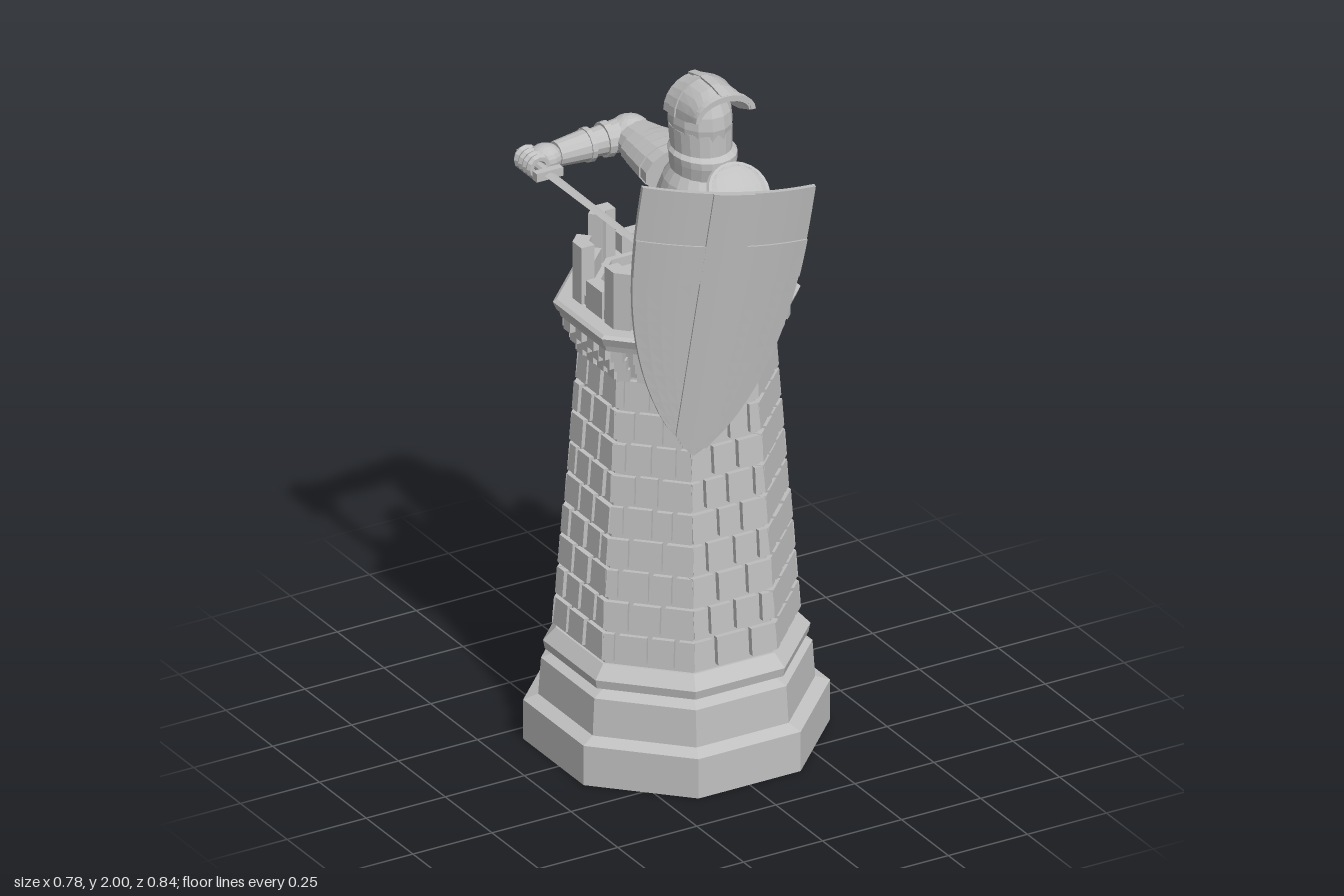
import * as THREE from 'three';
import { mergeGeometries } from 'three/addons/utils/BufferGeometryUtils.js';

const stoneGray = new THREE.MeshStandardMaterial({ color: 0xc0c0c0, flatShading: true });
stoneGray.name = 'stoneGray';
const V = (x, y, z) => new THREE.Vector3(x, y, z);
const T8 = Math.tan(Math.PI / 8), C8 = Math.cos(Math.PI / 8);

function add(parent, name, geo, pos = [0, 0, 0], rot = [0, 0, 0], scale = [1, 1, 1]) {
  const m = new THREE.Mesh(geo, stoneGray);
  m.name = name;
  m.position.set(...pos);
  m.rotation.set(...rot);
  m.scale.set(...scale);
  parent.add(m);
  return m;
}
// Octagonal frustum given by apothems, flat sides facing the axes
function octagon(aTop, aBottom, y0, y1) {
  return new THREE.CylinderGeometry(aTop / C8, aBottom / C8, y1 - y0, 8, 1, false, Math.PI / 8)
    .translate(0, (y0 + y1) / 2, 0);
}
// Octagonal slab with a hole of n sides
function ring(outer, inner, n, y0, y1) {
  const loop = (r, k, off) => Array.from({ length: k }, (_, i) =>
    new THREE.Vector2(r * Math.cos(off + i * 2 * Math.PI / k), r * Math.sin(off + i * 2 * Math.PI / k)));
  const s = new THREE.Shape(loop(outer / C8, 8, Math.PI / 8));
  s.holes.push(new THREE.Path(loop(inner, n, Math.PI / n)));
  return new THREE.ExtrudeGeometry(s, { depth: y1 - y0, bevelEnabled: false })
    .rotateX(-Math.PI / 2).translate(0, y0, 0);
}
// Closed solid through equal cross-section loops
function loft(rings) {
  const n = rings[0].length, p = rings.flat(), idx = [], last = (rings.length - 1) * n;
  for (let r = 0; r < rings.length - 1; r++) for (let i = 0; i < n; i++) {
    const a = r * n + i, b = r * n + (i + 1) % n;
    idx.push(a, b, b + n, a, b + n, a + n);
  }
  for (let i = 0; i < n / 2 - 1; i++) {
    const j = n - 1 - i;
    idx.push(i, j, j - 1, i, j - 1, i + 1);
    idx.push(last + i, last + j - 1, last + j, last + i, last + i + 1, last + j - 1);
  }
  let volume = 0;
  for (let i = 0; i < idx.length; i += 3) volume += p[idx[i]].dot(p[idx[i + 1]].clone().cross(p[idx[i + 2]]));
  if (volume < 0) idx.reverse();
  const g = new THREE.BufferGeometry().setFromPoints(p);
  g.setIndex(idx);
  g.computeVertexNormals();
  return g;
}
// Stack of ellipses [y, rx, rz, cz]
function ellipses(cx, rows, n = 20) {
  return loft(rows.map(([y, rx, rz, cz = 0]) => Array.from({ length: n }, (_, i) => {
    const a = i * 2 * Math.PI / n;
    return V(cx + rx * Math.cos(a), y, cz - rz * Math.sin(a));
  })));
}
// Tapered round piece from a to b
function limb(parent, name, a, b, ra, rb, flat = 1) {
  const d = V(...b).sub(V(...a));
  const m = add(parent, name, new THREE.CylinderGeometry(rb, ra, d.length(), 14));
  m.position.copy(V(...a)).addScaledVector(d, 0.5);
  m.quaternion.setFromUnitVectors(V(0, 1, 0), d.normalize());
  m.scale.z = flat;
  return m;
}
const ball = (parent, name, pos, r) => add(parent, name, new THREE.SphereGeometry(1, 14, 10), pos, [0, 0, 0], r);

function buildTower() {
  const tower = new THREE.Group();
  tower.name = 'tower';
  tower.position.z = -0.03;
  add(tower, 'hollowBase', ring(0.39, 0.24, 32, 0, 0.12));
  // plinth mouldings: [bottom apothem, top apothem, y0, y1]
  [[0.39, 0.352, 0.12, 0.135], [0.352, 0.345, 0.135, 0.245], [0.345, 0.308, 0.245, 0.26],
    [0.31, 0.31, 0.26, 0.275], [0.335, 0.34, 0.272, 0.298], [0.34, 0.308, 0.298, 0.335]]
    .forEach(([b, t, y0, y1]) => add(tower, 'plinth', octagon(t, b, y0, y1)));
  add(tower, 'wallCore', octagon(0.236, 0.301, 0.335, 1.19));
  add(tower, 'corbelCore', octagon(0.262, 0.236, 1.18, 1.3));
  [[0.295, 0.3, 1.285, 1.305], [0.305, 0.315, 1.305, 1.33], [0.315, 0.305, 1.33, 1.338]]
    .forEach(([b, t, y0, y1]) => add(tower, 'rim', octagon(t, b, y0, y1)));
  add(tower, 'parapet', ring(0.255, 0.205 / C8, 8, 1.33, 1.365));

  let seed = 7;
  const rand = () => (seed = (seed * 16807) % 2147483647) / 2147483647;
  const stones = [], corbels = [], merlons = [];
  const rows = 9, y0 = 0.34, step = 0.0935;
  for (let f = 0; f < 8; f++) {
    const place = (list, w, h, d, x, y, front, tilt = 0) => list.push(new THREE.BoxGeometry(w, h, d)
      .rotateX(-tilt).translate(x, y, front - d / 2).rotateY(f * Math.PI / 4));
    // staggered wall stones
    for (let r = 0; r < rows; r++) {
      const a = 0.314 - 0.0072 * r, half = a * T8;
      const cuts = (r + f) % 2 ? [0, 0.17, 0.5, 0.81, 1] : [0, 0.3, 0.64, 1];
      const joints = cuts.map((c) => (c % 1 ? c + (rand() - 0.5) * 0.08 : c));
      for (let i = 0; i < joints.length - 1; i++) {
        const g = 0.007, l = joints[i] * 2 * half - half + (i ? g : 0);
        const e = joints[i + 1] * 2 * half - half - (i < joints.length - 2 ? g : 0);
        place(stones, e - l, 0.078 + rand() * 0.006, 0.04, (l + e) / 2, y0 + (r + 0.5) * step,
          a - 0.003 + rand() * 0.004, 0.077);
      }
    }
    // stepped corbels
    for (let s = 0; s < 3; s++) for (let i = 0; i < 4; i++) {
      const a = 0.258 + s * 0.017;
      place(corbels, 0.034, 0.037, 0.06, (i - 1.5) * 0.056 * (1 + s * 0.06), 1.197 + s * 0.036, a);
    }
    // tall corner merlons and low blocks between them
    for (const s of [-1, 1]) place(merlons, 0.048, 0.18, 0.042, s * (0.265 * T8 - 0.024), 1.42, 0.265);
    place(merlons, 0.085, 0.09, 0.04, 0, 1.375, 0.262);
  }
  add(tower, 'wallStones', mergeGeometries(stones));
  add(tower, 'corbels', mergeGeometries(corbels));
  add(tower, 'merlons', mergeGeometries(merlons));
  return tower;
}

function buildShield() {
  const shield = new THREE.Group();
  shield.name = 'shield';
  const top = V(-0.055, 1.835, 0.345), tip = V(-0.115, 1.0, 0.225);
  const side = V(0.235, -0.03, 0.065), out = V(-0.26, 0.08, 0.96);
  const width = (t) => Math.max(0.01, Math.pow(1 - Math.pow(t, 2.8), 0.8));
  // curved panel between across-limits u0..u1 and down-limits t0..t1
  const panel = (name, u0, u1, t0, t1, front, back) => {
    const rings = [];
    for (let k = 0; k <= 20; k++) {
      const t = t0 + (t1 - t0) * k / 20, w = width(t);
      const lo = Math.max(u0, -w), hi = Math.min(u1, w);
      const row = (off) => Array.from({ length: 13 }, (_, i) => {
        const u = lo + (hi - lo) * i / 12;
        return top.clone().lerp(tip, t).addScaledVector(side, u)
          .addScaledVector(out, 0.055 * (1 - u * u) + off);
      });
      rings.push([...row(front), ...row(back).reverse()]);
    }
    add(shield, name, loft(rings));
  };
  panel('shieldBoard', -1, 1, 0, 1, 0, -0.018);
  panel('crossUpright', -0.24, 0.24, 0, 0.97, 0.007, -0.002);
  panel('crossBar', -1, 1, 0.2, 0.34, 0.007, -0.002);
  return shield;
}

function buildHelmet() {
  const helmet = new THREE.Group();
  helmet.name = 'helmet';
  ball(helmet, 'skull', [0.062, 1.865, -0.01], [0.085, 0.12, 0.104]);
  add(helmet, 'bevor', ellipses(0.062, [[1.7, 0.085, 0.095], [1.755, 0.09, 0.105, 0.005],
    [1.775, 0.092, 0.108, 0.002], [1.785, 0.082, 0.096, -0.005], [1.85, 0.084, 0.1, -0.01]]));
  // raised visor with ribs, rows of [z, base y, top y]
  const arch = (name, rows, a0, a1, grow) => add(helmet, name, loft(rows.map(([z, yb, yt]) => {
    const row = (g) => Array.from({ length: 13 }, (_, i) => {
      const a = a0 + (a1 - a0) * i / 12;
      return V(0.062 + Math.cos(a) * (0.09 + g), yb + Math.sin(a) * (yt - yb + g), z);
    });
    return [...row(grow), ...row(grow - 0.014).reverse()];
  })));
  const visor = [[-0.055, 1.89, 1.98], [0.01, 1.895, 1.994], [0.07, 1.905, 1.992], [0.125, 1.925, 1.98]];
  arch('visor', visor, 0, Math.PI, 0);
  arch('visorRidge', visor, 1.45, 1.69, 0.006);
  arch('visorBand', [[-0.02, 1.892, 1.987], [0.01, 1.895, 1.994]], 0, Math.PI, 0.005);
  arch('visorEdge', [[0.11, 1.92, 1.983], [0.128, 1.925, 1.98]], 0, Math.PI, 0.005);
  return helmet;
}

function buildKnight() {
  const knight = new THREE.Group();
  knight.name = 'knight';
  add(knight, 'breastplate', ellipses(0.057, [[1.33, 0.1, 0.12], [1.46, 0.1, 0.122], [1.5, 0.104, 0.126],
    [1.58, 0.117, 0.143], [1.63, 0.116, 0.143], [1.69, 0.1, 0.115], [1.725, 0.08, 0.09], [1.75, 0.075, 0.08]]));
  add(knight, 'waistBand', ellipses(0.057, [[1.45, 0.104, 0.126], [1.47, 0.104, 0.126]]));
  knight.add(buildHelmet());

  // sword arm reaching back, with overlapping shoulder plates
  [[-0.11, 0.107], [-0.15, 0.106], [-0.19, 0.1], [-0.23, 0.093]].forEach(([z, r], i) =>
    limb(knight, 'shoulderPlate', [0.055, 1.66 + i * 0.001, z], [0.055, 1.661, z - 0.052], r, r - 0.008, 0.64));
  limb(knight, 'upperArm', [0.056, 1.66, -0.26], [0.05, 1.66, -0.37], 0.078, 0.058, 0.78);
  ball(knight, 'elbowGuard', [0.046, 1.662, -0.362], [0.064, 0.056, 0.06]);
  limb(knight, 'forearm', [0.04, 1.662, -0.368], [-0.1, 1.662, -0.363], 0.05, 0.037);
  limb(knight, 'forearmBand', [-0.018, 1.662, -0.366], [-0.038, 1.662, -0.366], 0.052, 0.05);
  limb(knight, 'gauntletCuff', [-0.085, 1.662, -0.363], [-0.19, 1.662, -0.358], 0.046, 0.036);
  limb(knight, 'cuffRim', [-0.08, 1.662, -0.363], [-0.095, 1.662, -0.363], 0.05, 0.049);
  ball(knight, 'hand', [-0.225, 1.662, -0.355], [0.05, 0.04, 0.046]);
  for (let i = 0; i < 4; i++)
    add(knight, 'finger', new THREE.TorusGeometry(0.026, 0.012, 6, 12), [-0.266, 1.66, -0.387 + i * 0.022]);

  // shield arm, bent in behind the shield
  [[0.1, 0.105], [0.14, 0.1], [0.18, 0.092]].forEach(([z, r], i) =>
    limb(knight, 'shoulderPlate', [0.065 + i * 0.01, 1.645 - i * 0.018, z],
      [0.075 + i * 0.01, 1.625 - i * 0.018, z + 0.05], r, r - 0.008, 0.62));
  limb(knight, 'upperArm', [0.09, 1.61, 0.2], [0.105, 1.555, 0.31], 0.068, 0.05, 0.85);
  ball(knight, 'elbowGuard', [0.1, 1.553, 0.312], [0.054, 0.052, 0.046]);
  limb(knight, 'forearm', [0.095, 1.553, 0.31], [-0.09, 1.575, 0.278], 0.048, 0.042);
  limb(knight, 'gauntletCuff', [-0.055, 1.572, 0.282], [-0.17, 1.585, 0.245], 0.052, 0.036);
  limb(knight, 'cuffRim', [-0.05, 1.571, 0.283], [-0.066, 1.573, 0.279], 0.056, 0.055);
  ball(knight, 'hand', [-0.195, 1.588, 0.232], [0.044, 0.032, 0.036]);
  for (let i = 0; i < 4; i++)
    add(knight, 'finger', new THREE.TorusGeometry(0.025, 0.01, 6, 12, 4.4),
      [-0.215 + i * 0.006, 1.565 + i * 0.018, 0.215], [Math.PI / 2, 0, 0.6]);

  // slanted guard plate over the shield shoulder
  const guard = new THREE.Group();
  guard.name = 'shoulderGuard';
  guard.position.set(0.062, 1.725, 0.195);
  guard.rotation.x = -0.82;
  add(guard, 'guardPlate', new THREE.SphereGeometry(1, 18, 10), [0, 0, 0], [0, 0, 0], [0.086, 0.082, 0.022]);
  add(guard, 'guardRim', new THREE.TorusGeometry(0.085, 0.009, 6, 24), [0, 0, 0], [0, 0, 0], [1, 0.95, 1]);
  knight.add(guard);
  return knight;
}

function buildSword() {
  const sword = new THREE.Group();
  sword.name = 'sword';
  sword.position.set(-0.264, 1.66, 0);
  add(sword, 'grip', new THREE.CylinderGeometry(0.014, 0.014, 0.13, 10), [0, 0, -0.345], [Math.PI / 2, 0, 0]);
  add(sword, 'pommel', new THREE.BoxGeometry(0.03, 0.03, 0.02), [0, 0, -0.405]);
  add(sword, 'crossguard', new THREE.BoxGeometry(0.084, 0.026, 0.022), [0, 0, -0.272]);
  const section = (z, w, h) => [V(w, 0, z), V(0, h, z), V(-w, 0, z), V(0, -h, z)];
  add(sword, 'blade', loft([section(-0.27, 0.016, 0.008), section(0.24, 0.012, 0.006), section(0.285, 0.001, 0.001)]));
  return sword;
}

export function createModel() {
  const model = new THREE.Group();
  model.name = 'knightTower';
  model.add(buildTower(), buildKnight(), buildShield(), buildSword());
  return model;
}
